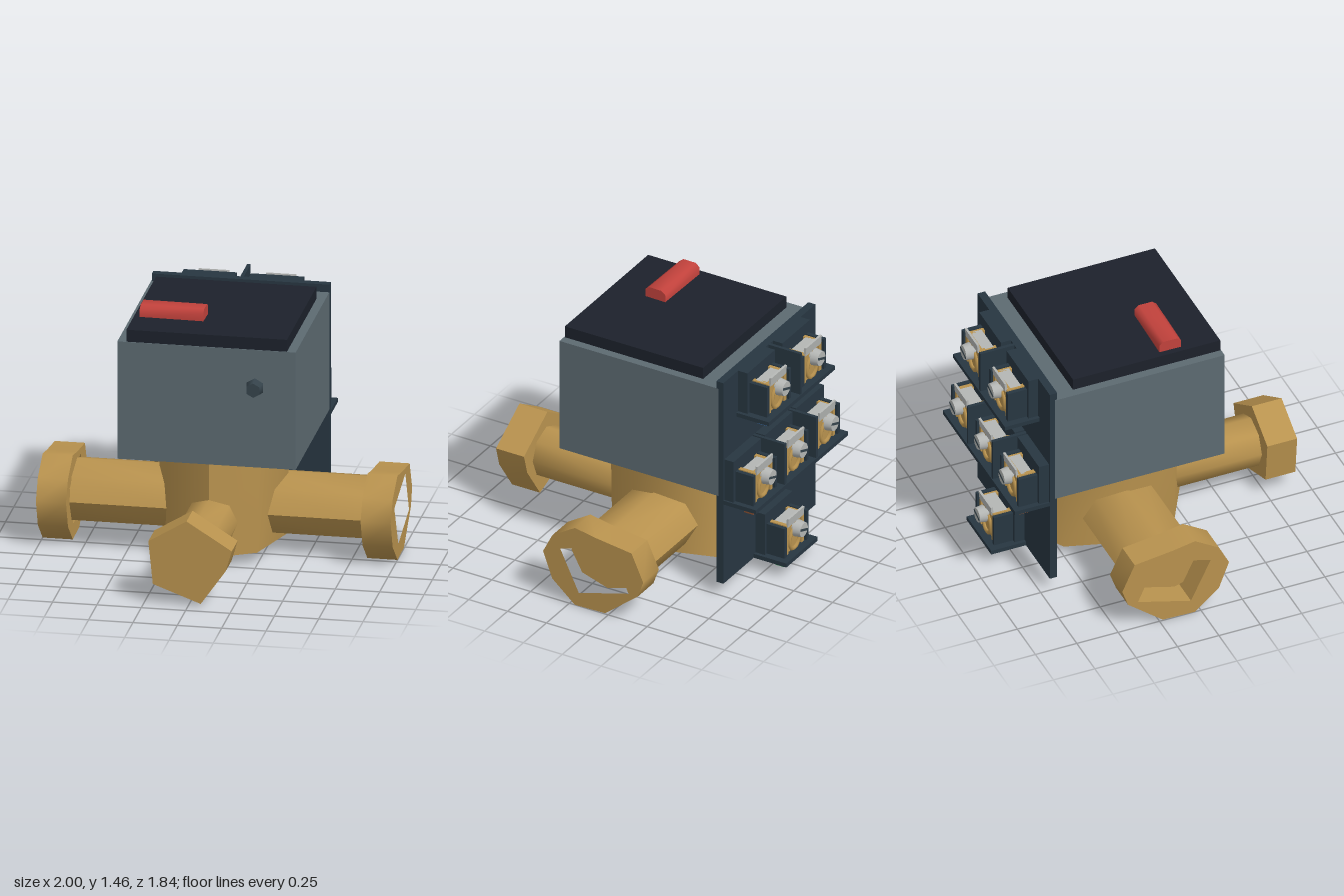
import * as THREE from 'three';
import { toCreasedNormals } from 'three/addons/utils/BufferGeometryUtils.js';

const mat = (color) => new THREE.MeshStandardMaterial({ color });
const M = {
  brass: mat(0xb8924e), shell: mat(0x5c6a71), lid: mat(0x1c212b), plate: mat(0x273641),
  red: mat(0xc2423c), steel: mat(0xb4b6b4), blue: mat(0x3f78bd), brown: mat(0x8a4f30),
  green: mat(0x258a45), yellow: mat(0xd8b020), dark: mat(0x36444c),
};

function add(parent, name, geo, material, x = 0, y = 0, z = 0) {
  const m = new THREE.Mesh(geo, material);
  m.name = name;
  m.position.set(x, y, z);
  parent.add(m);
  return m;
}

// Box given by its limits on each axis
function block(parent, name, material, x0, x1, y0, y1, z0, z1) {
  return add(parent, name, new THREE.BoxGeometry(x1 - x0, y1 - y0, z1 - z0), material,
    (x0 + x1) / 2, (y0 + y1) / 2, (z0 + z1) / 2);
}

// Extruded outline with softened side edges
function prism(points, depth, hole) {
  const shape = new THREE.Shape(points.map(([x, y]) => new THREE.Vector2(x, y)));
  if (hole) shape.holes.push(new THREE.Path(hole.map(([x, y]) => new THREE.Vector2(x, y))));
  return toCreasedNormals(new THREE.ExtrudeGeometry(shape, { depth, bevelEnabled: false }), 0.95);
}

function valve(root) {
  const g = new THREE.Group();
  g.name = 'valve';
  root.add(g);

  // Eight-sided body, a little longer towards the back at its foot
  const body = new THREE.CylinderGeometry(1, 1, 0.56, 8, 1);
  const p = body.attributes.position;
  for (let i = 0; i < p.count; i++) {
    const top = p.getY(i) > 0;
    p.setX(i, p.getX(i) * (top ? 0.37 : 0.35));
    p.setZ(i, p.getZ(i) * (top ? 0.44 : 0.475) - (top ? 0.14 : 0.165));
  }
  body.computeVertexNormals();
  add(g, 'valveBody', toCreasedNormals(body, 0.9), M.brass, 0, 0.35, 0);
  add(g, 'valveStem', new THREE.CylinderGeometry(0.09, 0.09, 0.59, 8), M.steel, 0, 0.355, -0.165);

  // Side pipes with socketed collars; outline as (z, y)
  const rim = [[-0.035, 0.5], [-0.17, 0.475], [-0.4, 0.445], [-0.475, 0.28], [-0.44, 0.18],
    [-0.23, 0.01], [-0.035, 0.005], [0.11, 0.13], [0.17, 0.29], [0.11, 0.41]];
  const socket = [[0.06, 0.34], [-0.27, 0.43], [-0.38, 0.18], [-0.06, 0.09]];
  for (const s of [-1, 1]) {
    const side = s > 0 ? 'left' : 'right';
    const pipe = new THREE.CylinderGeometry(1, 1, 0.69, 8);
    pipe.scale(0.18, 1, 0.235);
    pipe.rotateZ(Math.PI / 2);
    add(g, side + 'Pipe', toCreasedNormals(pipe, 0.9), M.brass, s * 0.515, 0.26, -0.165);
    const turn = (pts) => pts.map(([z, y]) => [-s * z, y]);
    const collar = prism(turn(rim), 0.17, turn(socket));
    collar.rotateY(s * Math.PI / 2);
    add(g, side + 'Collar', collar, M.brass, s * 0.83, 0, 0);
  }

  // Front pipe with a closed five-sided cap
  const front = new THREE.CylinderGeometry(0.15, 0.15, 0.6, 8);
  front.rotateX(Math.PI / 2);
  add(g, 'frontPipe', toCreasedNormals(front, 0.9), M.brass, 0, 0.26, 0.46);
  const cap = [[-0.01, 0.5], [0.245, 0.34], [0.21, 0.22], [0.07, 0.02], [-0.2, 0.12], [-0.225, 0.37]];
  add(g, 'frontCap', prism(cap, 0.18), M.brass, 0, 0, 0.74);
}

function actuator(root) {
  const g = new THREE.Group();
  g.name = 'actuator';
  root.add(g);
  block(g, 'housing', M.shell, -0.505, 0.5, 0.64, 1.33, -0.665, 0.36);
  block(g, 'lid', M.lid, -0.455, 0.45, 1.33, 1.4, -0.535, 0.355);
  // Lever with chamfered long edges
  const lever = prism([[-0.065, 0], [0.065, 0], [0.065, 0.045], [0.04, 0.065], [-0.04, 0.065], [-0.065, 0.045]], 0.36);
  lever.rotateY(Math.PI / 2);
  add(g, 'lever', lever, M.red, -0.42, 1.4, 0.068).rotation.y = -0.02;
  const knob = new THREE.CylinderGeometry(0.042, 0.055, 0.06, 6);
  knob.rotateX(Math.PI / 2);
  add(g, 'knob', knob, M.dark, 0.27, 1.11, 0.385);
}

// One screw clamp between two low walls, standing on its shelf
function terminal(parent, x, y, labelMat) {
  const g = new THREE.Group();
  g.name = 'terminal';
  g.position.set(x, y, 0);
  parent.add(g);
  for (const s of [-1, 1]) {
    const wx = s * 0.118;
    block(g, 'terminalWall', M.plate, wx - 0.012, wx + 0.012, 0, 0.2, -0.87, -0.73);
    const cx = s * 0.085;
    block(g, 'clampSide', M.brass, cx - 0.012, cx + 0.012, 0.01, 0.2, -0.86, -0.75);
  }
  block(g, 'clampFace', M.brass, -0.085, 0.085, 0.01, 0.2, -0.85, -0.835);
  const ring = add(g, 'clampRing', new THREE.TorusGeometry(0.052, 0.012, 6, 16), M.brass, 0, 0.075, -0.855);
  ring.scale.y = 1.2;
  const plate = block(g, 'clampPlate', M.steel, -0.085, 0.085, 0.185, 0.24, -0.868, -0.855);
  plate.rotation.x = -0.1;
  block(g, 'clampTop', M.steel, -0.085, 0.085, 0.19, 0.2, -0.86, -0.77);
  const shaft = new THREE.CylinderGeometry(0.024, 0.024, 0.14, 10);
  shaft.rotateX(Math.PI / 2);
  add(g, 'screwShaft', shaft, M.steel, 0, 0.145, -0.81);
  const head = new THREE.CylinderGeometry(0.05, 0.043, 0.045, 16);
  head.rotateX(Math.PI / 2);
  add(g, 'screwHead', head, M.steel, 0, 0.145, -0.895);
  const slot = block(g, 'screwSlot', M.dark, -0.04, 0.04, 0.138, 0.152, -0.9195, -0.91);
  slot.rotation.z = 0.35;
  slot.position.y = 0.145;
  // Coloured marker under the shelf
  block(g, 'marker', labelMat, -0.115, 0.115, -0.055, -0.015, -0.86, -0.8);
  if (labelMat === M.green) block(g, 'markerStripe', M.yellow, -0.025, 0.025, -0.057, -0.015, -0.862, -0.798);
}

function terminalBoard(root) {
  const g = new THREE.Group();
  g.name = 'terminalBoard';
  root.add(g);
  block(g, 'backPlate', M.plate, -0.5, 0.5, 0.085, 1.375, -0.695, -0.65);

  const rows = [
    { y: 1.105, half: 0.36, xs: [-0.19, 0.19], labels: [M.brown, M.blue] },
    { y: 0.61, half: 0.5, xs: [-0.34, 0, 0.34], labels: [M.brown, M.brown, M.brown] },
    { y: 0.1, half: 0.17, xs: [0], labels: [M.green] },
  ];
  for (const { y, half, xs, labels } of rows) {
    block(g, 'shelf', M.plate, -half, half, y - 0.015, y + 0.01, -0.905, -0.69);
    xs.forEach((x, i) => {
      block(g, 'terminalPad', M.plate, x - 0.15, x + 0.15, y, y + 0.27, -0.755, -0.69);
      terminal(g, x, y, labels[i]);
      // Tall divider between neighbours
      if (i > 0) {
        const d = (x + xs[i - 1]) / 2;
        block(g, 'divider', M.plate, d - 0.01, d + 0.01, y, y + 0.27, -0.9, -0.69);
      }
    });
  }
}

export function createModel() {
  const root = new THREE.Group();
  root.name = 'motorisedValve';
  valve(root);
  actuator(root);
  terminalBoard(root);
  return root;
}
